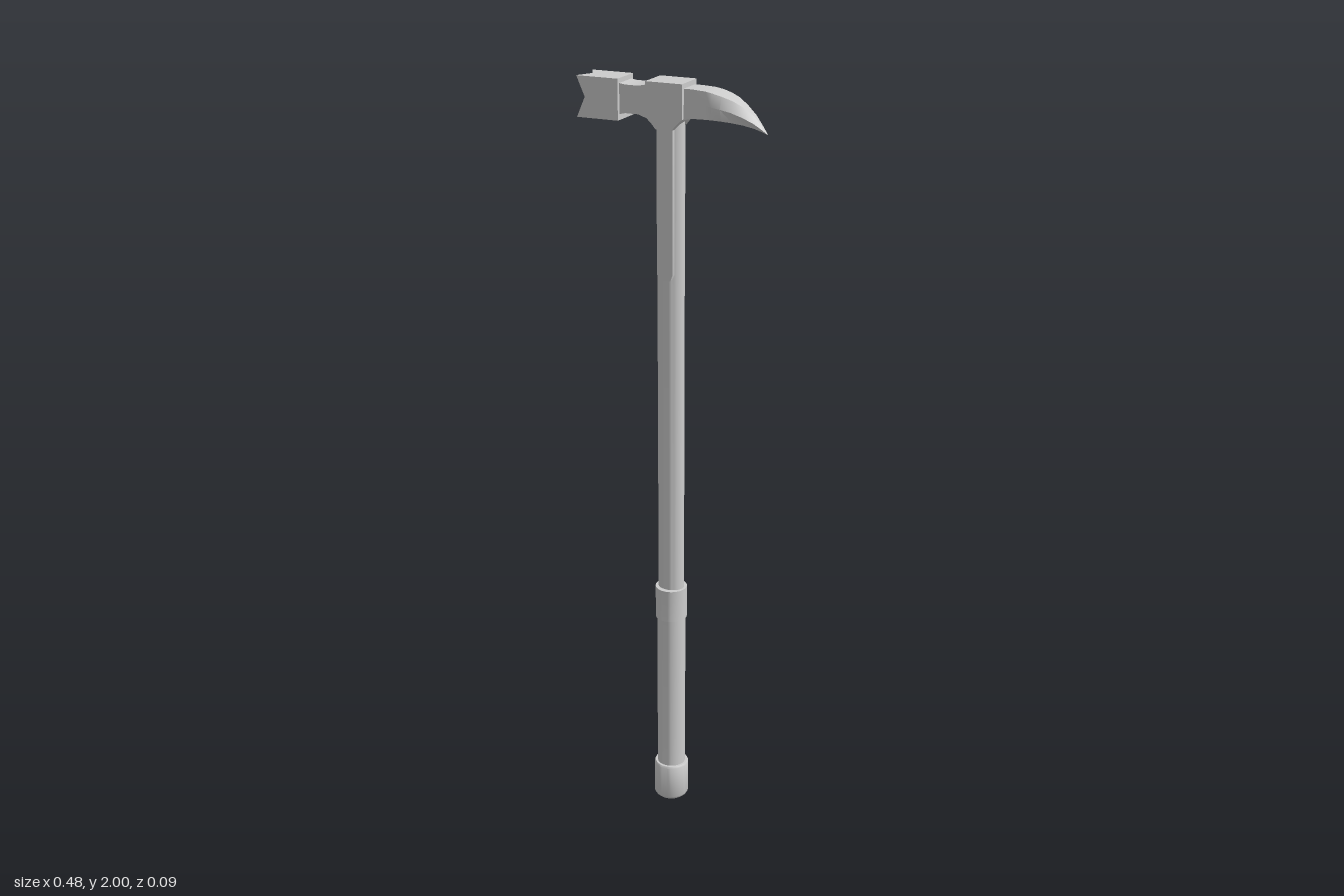
import * as THREE from 'three';
import { toCreasedNormals } from 'three/addons/utils/BufferGeometryUtils.js';

const mat = new THREE.MeshStandardMaterial({ color: 0xcccccc });
const CX = -0.009; // shaft axis

function add(group, name, geometry, x = 0, y = 0, z = 0) {
  const mesh = new THREE.Mesh(toCreasedNormals(geometry, 0.6), mat);
  mesh.name = name;
  mesh.position.set(x, y, z);
  group.add(mesh);
  return mesh;
}

// Extrude an xy outline, centred on z = 0
function slab(points, halfDepth) {
  const shape = new THREE.Shape(points.map(p => new THREE.Vector2(...p)));
  const g = new THREE.ExtrudeGeometry(shape, { depth: halfDepth * 2, bevelEnabled: false });
  return g.translate(0, 0, -halfDepth);
}

// Skin rings of equal point count that run along +x, counter-clockwise seen from +x
function loft(rings) {
  const n = rings[0].length, pos = rings.flat(2), idx = [];
  for (let r = 0; r < rings.length - 1; r++)
    for (let i = 0; i < n; i++) {
      const a = r * n + i, b = r * n + (i + 1) % n;
      idx.push(a, b, b + n, a, b + n, a + n);
    }
  const last = (rings.length - 1) * n;
  for (let i = 1; i < n - 1; i++) idx.push(0, i + 1, i, last, last + i, last + i + 1);
  const g = new THREE.BufferGeometry();
  g.setAttribute('position', new THREE.Float32BufferAttribute(pos, 3));
  g.setIndex(idx);
  return g;
}

// Hammer block whose striking face is crossed by two V grooves, leaving four points
function hammerGeometry() {
  const y0 = 1.9, y1 = 2, ym = 1.95, w = 0.042;
  const around = [[y0, w], [y0, 0], [y0, -w], [ym, -w], [y1, -w], [y1, 0], [y1, w], [ym, w]];
  const face = around.map(([y, z], i) => [i % 2 ? -0.219 : -0.241, y, z]);
  const back = around.map(([y, z]) => [-0.13, y, z]);
  const centre = [-0.219, ym, 0], tris = [];
  for (let i = 0; i < 8; i++) {
    const j = (i + 1) % 8;
    tris.push(centre, face[i], face[j]);
    tris.push(face[i], back[i], back[j], face[i], back[j], face[j]);
    tris.push([-0.13, ym, 0], back[j], back[i]);
  }
  const g = new THREE.BufferGeometry();
  // the ring runs clockwise seen from +x, so swap two corners of each triangle
  const out = [];
  for (let t = 0; t < tris.length; t += 3) out.push(tris[t], tris[t + 2], tris[t + 1]);
  const p = new THREE.Vector3().fromArray(out[0]), q = new THREE.Vector3().fromArray(out[1]);
  const r = new THREE.Vector3().fromArray(out[2]);
  const flip = q.sub(p).cross(r.sub(p)).x > 0;
  g.setAttribute('position', new THREE.Float32BufferAttribute((flip ? tris : out).flat(), 3));
  return g;
}

export function createModel() {
  const model = new THREE.Group();
  model.name = 'warHammer';

  // Shaft, slightly oval
  const shaft = new THREE.CylinderGeometry(0.035, 0.035, 1.36, 32).scale(1, 1, 0.83);
  add(model, 'shaft', shaft, CX, 1.26);

  // Grip, collar and pommel
  add(model, 'grip', new THREE.CylinderGeometry(0.038, 0.038, 0.5, 32), CX, 0.34);
  add(model, 'gripCollar', new THREE.CylinderGeometry(0.042, 0.042, 0.09, 32), CX, 0.613);
  const pommel = [[0, 0], [0.036, 0.003], [0.044, 0.01], [0.047, 0.016], [0.047, 0.108], [0.044, 0.113], [0, 0.113]];
  add(model, 'pommel', new THREE.LatheGeometry(pommel.map(p => new THREE.Vector2(...p)), 32), CX);

  // Langets down the front and back of the shaft
  const langet = [[-0.015, 1.515], [0.015, 1.515], [0.021, 1.53], [0.021, 1.92], [-0.021, 1.92], [-0.021, 1.53]];
  for (const s of [1, -1])
    add(model, s > 0 ? 'frontLanget' : 'backLanget', slab(langet, 0.006), CX, 0, s * 0.031);

  // Head socket, tapering into the langets
  const socket = [[-0.021, 1.888], [0.021, 1.888], [0.031, 1.9], [0.048, 1.916],
    [0.048, 2], [-0.048, 2], [-0.048, 1.916], [-0.031, 1.9]];
  add(model, 'headSocket', slab(socket, 0.042), CX);

  // Waisted neck between socket and hammer
  const neck = [[-0.14, 1.912], [-0.115, 1.918], [-0.08, 1.918], [-0.05, 1.908],
    [-0.05, 1.992], [-0.08, 1.986], [-0.115, 1.986], [-0.14, 1.99]];
  add(model, 'hammerNeck', slab(neck, 0.033), 0);
  add(model, 'hammer', hammerGeometry());

  // Curved beak: x, bottom y, top y, half width, share of that width at top and bottom
  const sections = [
    [0.03, 1.912, 1.988, 0.031, 1], [0.06, 1.919, 1.988, 0.031, 1],
    [0.095, 1.92, 1.986, 0.032, 1], [0.112, 1.92, 1.983, 0.04, 0.8],
    [0.135, 1.919, 1.977, 0.039, 0.78], [0.16, 1.916, 1.968, 0.034, 0.7],
    [0.185, 1.911, 1.953, 0.027, 0.55], [0.21, 1.904, 1.933, 0.017, 0.4],
    [0.228, 1.897, 1.911, 0.008, 0.3], [0.241, 1.891, 1.893, 0.001, 0.3],
  ];
  const rings = sections.map(([x, b, t, w, k]) => {
    const m = (b + t) / 2;
    return [[x, b, w * k], [x, b, -w * k], [x, m, -w], [x, t, -w * k], [x, t, w * k], [x, m, w]];
  });
  add(model, 'beak', loft(rings));

  return model;
}
